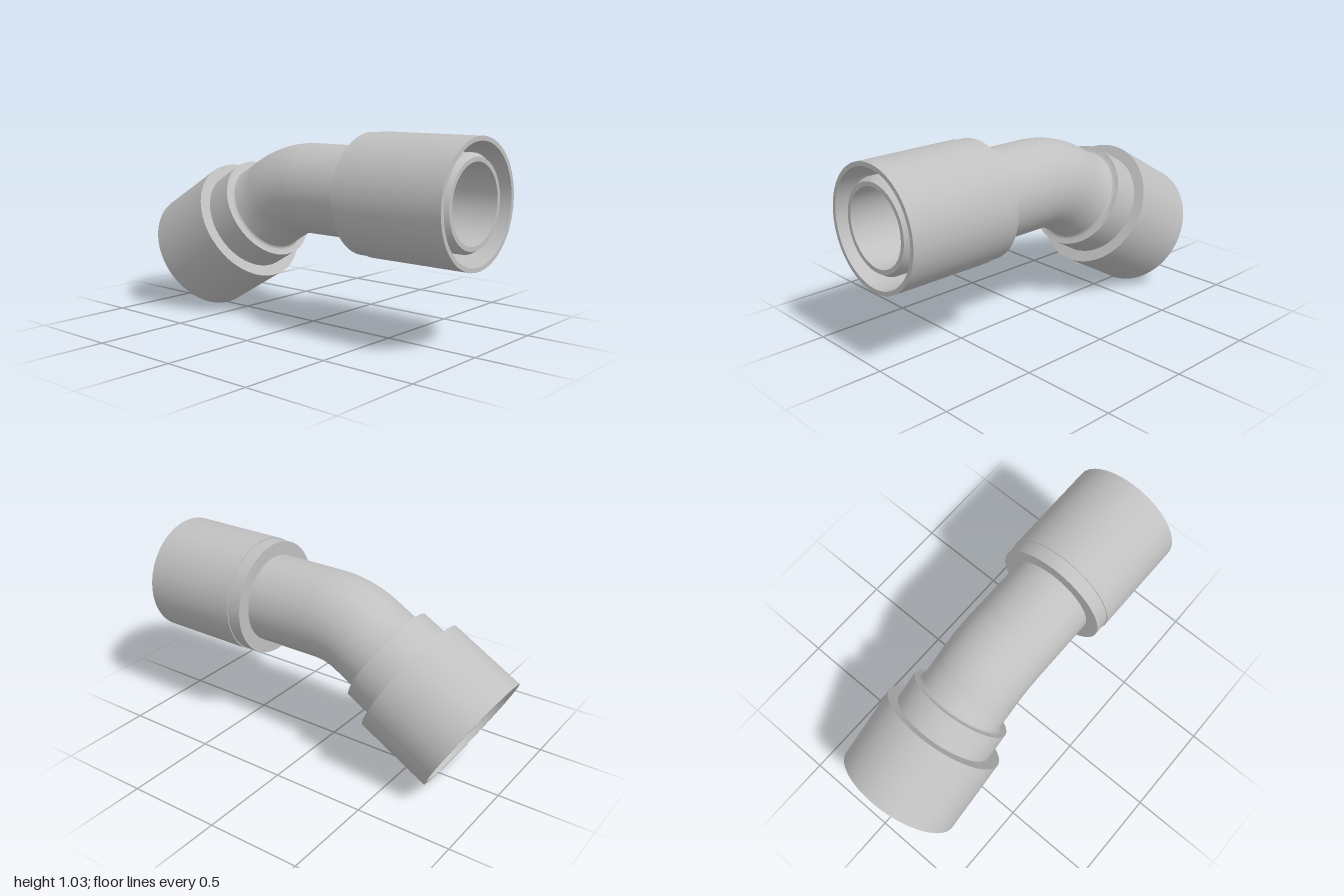
import * as THREE from 'three';
import { toCreasedNormals } from 'three/addons/utils/BufferGeometryUtils.js';

const SEGMENTS = 72;
const PIPE_R = 0.235, BORE_R = 0.195;
const BEND_R = 0.45, BEND_ANGLE = Math.PI / 6;
const AXIS_Y = 0.72, BEND_X = 0.02;

export function createModel() {
  const group = new THREE.Group();
  const grey = new THREE.MeshStandardMaterial({ color: 0xc0c0c0, side: THREE.DoubleSide });
  grey.name = 'plain grey';

  const add = (name, geometry, x, y, turn) => {
    const mesh = new THREE.Mesh(geometry, grey);
    mesh.name = name;
    mesh.position.set(x, y, 0);
    mesh.rotation.z = turn;
    group.add(mesh);
  };
  // Revolves a [radius, distance] profile, keeping its corners sharp
  const turned = (profile) => toCreasedNormals(
    new THREE.LatheGeometry(profile.map(([r, d]) => new THREE.Vector2(r, d)), SEGMENTS), 0.5);

  // Straight pipe with a chamfered open end inside the sleeve
  add('straightPipe', turned([
    [PIPE_R, BEND_X], [PIPE_R, 0.95], [0.217, 0.98], [BORE_R, 0.98], [BORE_R, BEND_X],
  ]), 0, AXIS_Y, -Math.PI / 2);

  // Sleeve around the straight pipe, with a slightly narrower collar
  add('sleeve', turned([
    [PIPE_R, 0.38], [0.307, 0.38], [0.307, 0.455], [0.312, 0.455],
    [0.312, 1], [0.29, 1], [0.265, 0.6], [PIPE_R, 0.6],
  ]), 0, AXIS_Y, -Math.PI / 2);

  // Thirty degree bend, outside and bore
  for (const [name, r] of [['bendOuter', PIPE_R], ['bendBore', BORE_R]]) {
    add(name, new THREE.TorusGeometry(BEND_R, r, SEGMENTS, 24, BEND_ANGLE),
      BEND_X, AXIS_Y - BEND_R, Math.PI / 2);
  }

  // Small fillet where the neck meets the socket shoulder
  const fillet = [];
  for (let i = 0; i <= 5; i++) {
    const a = (i / 5) * Math.PI / 2;
    fillet.push([PIPE_R + 0.02 * (1 - Math.cos(a)), 0.123 + 0.02 * Math.sin(a)]);
  }

  // Stepped socket continuing from the bend, open at its far end
  add('steppedSocket', turned([
    [PIPE_R, 0], ...fillet, [0.28, 0.143], [0.28, 0.299], [0.34, 0.299],
    [0.34, 0.722], [0.318, 0.722], [0.3, 0.33], [BORE_R, 0.33], [BORE_R, 0],
  ]),
  BEND_X - BEND_R * Math.sin(BEND_ANGLE),
  AXIS_Y - BEND_R * (1 - Math.cos(BEND_ANGLE)),
  Math.PI / 2 + BEND_ANGLE);

  return group;
}
